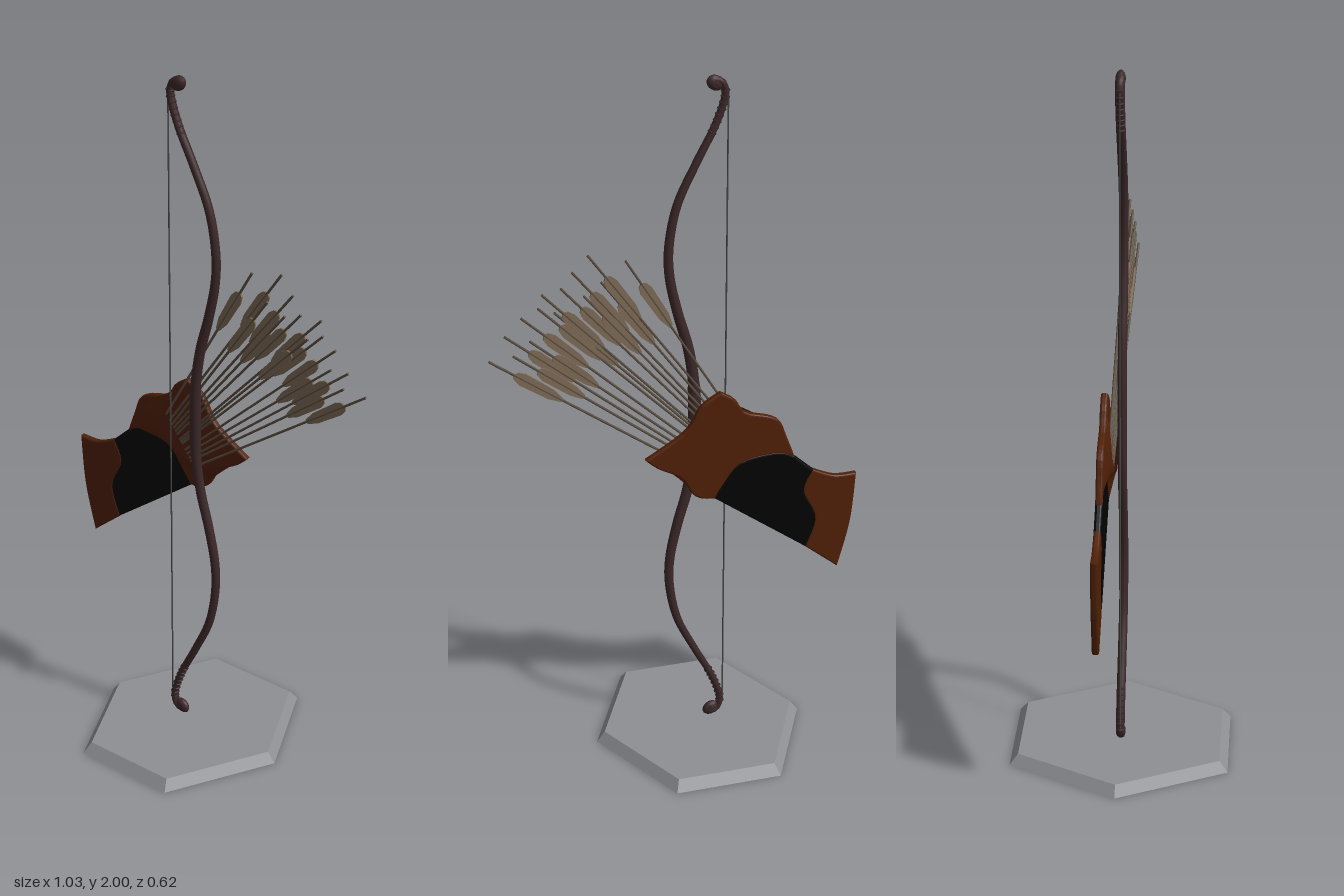
import * as THREE from 'three';

const mat = (name, color, side = THREE.FrontSide) => {
  const m = new THREE.MeshStandardMaterial({ color, side });
  m.name = name;
  return m;
};
const V2 = ([x, y]) => new THREE.Vector2(x, y);
const curve = (pts, n = 16) => new THREE.SplineCurve(pts.map(V2)).getPoints(n);

export function createModel() {
  const root = new THREE.Group();
  const stone = mat('stone grey', 0x8e9094);
  const wood = mat('dark wood', 0x3c2829);
  const cord = mat('cord', 0x4a4a4a);
  const leather = mat('brown leather', 0x502006, THREE.DoubleSide);
  const black = mat('black leather', 0x030303);
  const shaftMat = mat('arrow shaft', 0x5a4e40);
  const featherMat = mat('feather', 0x7e6a55);

  const add = (name, geo, material, parent = root) => {
    const m = new THREE.Mesh(geo, material);
    m.name = name;
    parent.add(m);
    return m;
  };

  // Hexagonal base with sloped rim
  let hex = new THREE.CylinderGeometry(0.329, 0.356, 0.03, 6, 1, false, Math.PI / 2);
  hex.scale(0.86, 1, 1);
  hex = hex.toNonIndexed();
  hex.computeVertexNormals();
  add('base', hex, stone).position.set(-0.07, 0.015, 0);

  // Bow: half profile mirrored about the grip height
  const mid = 1.016;
  const half = [[-0.108, 1.968], [-0.097, 1.976], [-0.107, 1.986], [-0.126, 1.978], [-0.135, 1.95],
    [-0.129, 1.918], [-0.106, 1.857], [-0.057, 1.762], [-0.004, 1.646], [0.018, 1.524], [0.015, 1.444],
    [-0.007, 1.339], [-0.036, 1.233], [-0.052, 1.127]];
  const pts = [...half, [-0.055, mid], ...half.slice().reverse().map(([x, y]) => [x, 2 * mid - y])];
  const path = new THREE.CatmullRomCurve3(pts.map(([x, y]) => new THREE.Vector3(x, y, 0)), false, 'centripetal');
  const N = 160, S = 10;
  const limb = new THREE.TubeGeometry(path, N, 0.01, S, false);
  const pos = limb.attributes.position;
  for (let i = 0; i <= N; i++) {
    const c = path.getPointAt(i / N);
    const d = Math.abs(c.y - mid);
    const k = d < 0.1 ? 1.8 : THREE.MathUtils.lerp(1.6, 0.95, Math.min(1, (d - 0.1) / 0.8));
    for (let j = 0; j <= S; j++) {
      const v = i * (S + 1) + j;
      pos.setXYZ(v, c.x + (pos.getX(v) - c.x) * k, c.y + (pos.getY(v) - c.y) * k, pos.getZ(v) * 1.25);
    }
  }
  add('bowLimbs', limb, wood);

  // Rolled oval tips and cord wrappings at both ends
  for (const s of [1, -1]) {
    const tip = add('bowTip', new THREE.SphereGeometry(0.02, 14, 10), wood);
    tip.position.set(-0.107, mid + s * 0.961, 0);
    tip.rotation.z = s * 0.6;
    tip.scale.set(1.25, 1, 0.65);
    for (let i = 0; i < 8; i++) {
      const u = 0.036 + i * 0.008;
      const t = s > 0 ? u : 1 - u;
      const ring = add('tipWrap', new THREE.TorusGeometry(0.0098, 0.003, 6, 12), wood);
      ring.position.copy(path.getPointAt(t));
      ring.quaternion.setFromUnitVectors(new THREE.Vector3(0, 0, 1), path.getTangentAt(t));
    }
  }
  add('bowString', new THREE.CylinderGeometry(0.0022, 0.0022, 1.87, 6), cord).position.set(-0.143, mid, 0);

  // Quiver: three flat bands, each outlined by a loop of curved edges
  const quiver = new THREE.Group();
  quiver.name = 'quiver';
  root.add(quiver);
  const lowSeam = [[-0.37, 0.587], [-0.397, 0.677], [-0.36, 0.767], [-0.385, 0.83]];
  const highSeam = [[-0.33, 0.88], [-0.28, 0.9], [-0.175, 0.885], [-0.12, 0.82], [-0.1, 0.785]];
  const rev = (a) => a.slice().reverse();
  const band = (name, edges, material) => {
    const outline = edges.flatMap((e) => (e.length > 2 ? curve(e) : e.map(V2)))
      .filter((p, i, a) => p.distanceTo(a[(i + 1) % a.length]) > 1e-4);
    const geo = new THREE.ExtrudeGeometry(new THREE.Shape(outline), {
      depth: 0.008, bevelThickness: 0.006, bevelSize: 0.006, bevelOffset: -0.004, bevelSegments: 3,
    });
    geo.translate(0, 0, -0.047);
    add(name, geo, material, quiver);
  };
  band('quiverEnd', [
    [[-0.513, 0.8], [-0.5, 0.65], [-0.466, 0.508]], lowSeam,
    [[-0.385, 0.83], [-0.45, 0.802], [-0.513, 0.8]],
  ], leather);
  band('quiverBody', [rev(lowSeam), [[-0.37, 0.587], [-0.1, 0.785]], rev(highSeam),
    [[-0.33, 0.88], [-0.385, 0.83]]], black);
  band('quiverMouthBack', [
    [[-0.33, 0.88], [-0.305, 0.945], [-0.285, 0.995], [-0.25, 1.017], [-0.185, 1.037], [-0.155, 1.08], [-0.115, 1.107]],
    [[-0.115, 1.107], [-0.06, 1.07], [-0.015, 1.0], [0.095, 0.93]],
    [[0.095, 0.93], [0.06, 0.9], [-0.005, 0.862], [-0.035, 0.81], [-0.063, 0.79], [-0.1, 0.785]],
    rev(highSeam),
  ], leather);

  // Front of the mouth: a sheet bulging forward from seam to open rim
  const seam = curve([[-0.24, 1.01], [-0.3, 0.91], [-0.18, 0.885], [-0.1, 0.79], [-0.05, 0.8], [0.0, 0.867]], 24);
  const rim = curve([[-0.16, 1.06], [-0.19, 0.96], [-0.13, 0.885], [-0.05, 0.865], [0.03, 0.893], [0.088, 0.922]], 24);
  const pouch = new THREE.PlaneGeometry(1, 1, 24, 6);
  const pp = pouch.attributes.position;
  for (let r = 0; r <= 6; r++) for (let c = 0; c <= 24; c++) {
    const v = r / 6;
    const p = rim[c].clone().lerp(seam[c], v);
    const bulge = Math.pow(Math.sin(Math.PI * c / 24), 0.6);
    pp.setXYZ(r * 25 + c, p.x, p.y, -0.033 + 0.021 * (1 - v) * bulge);
  }
  pouch.computeVertexNormals();
  add('quiverMouthFront', pouch, leather, quiver);

  // Arrows fanning out of the mouth, nock ends outward
  const vane = new THREE.Shape([[0, -0.08], [0.012, -0.088], [0.018, -0.108], [0.015, -0.2], [0.006, -0.235],
    [-0.006, -0.235], [-0.015, -0.2], [-0.018, -0.108], [-0.012, -0.088]].map(V2));
  const vaneGeo = new THREE.ExtrudeGeometry(vane, { depth: 0.005, bevelEnabled: false });
  vaneGeo.translate(0, 0, -0.0025);
  const tips = [[0.137, 1.51], [0.238, 1.535], [0.28, 1.49], [0.31, 1.445], [0.365, 1.44], [0.375, 1.4],
    [0.42, 1.375], [0.465, 1.325], [0.512, 1.265], [0.445, 1.27], [0.33, 1.38], [0.2, 1.45], [0.4, 1.31], [0.25, 1.42]];
  tips.forEach(([x, y], i) => {
    const t = THREE.MathUtils.clamp((1.373 - (y - x)) / 0.618, 0, 1);
    const base = new THREE.Vector3(-0.18 + 0.1 * t, 0.985 - 0.135 * t, -0.026);
    const tip = new THREE.Vector3(x, y, -0.003 + 0.005 * (i % 4));
    const len = tip.distanceTo(base);
    const arrow = new THREE.Group();
    arrow.name = 'arrow';
    arrow.position.copy(tip);
    arrow.quaternion.setFromUnitVectors(new THREE.Vector3(0, 1, 0), tip.clone().sub(base).normalize());
    add('shaft', new THREE.CylinderGeometry(0.0036, 0.0036, len, 6), shaftMat, arrow).position.y = -len / 2;
    add('feather', vaneGeo, featherMat, arrow);
    root.add(arrow);
  });
  return root;
}
